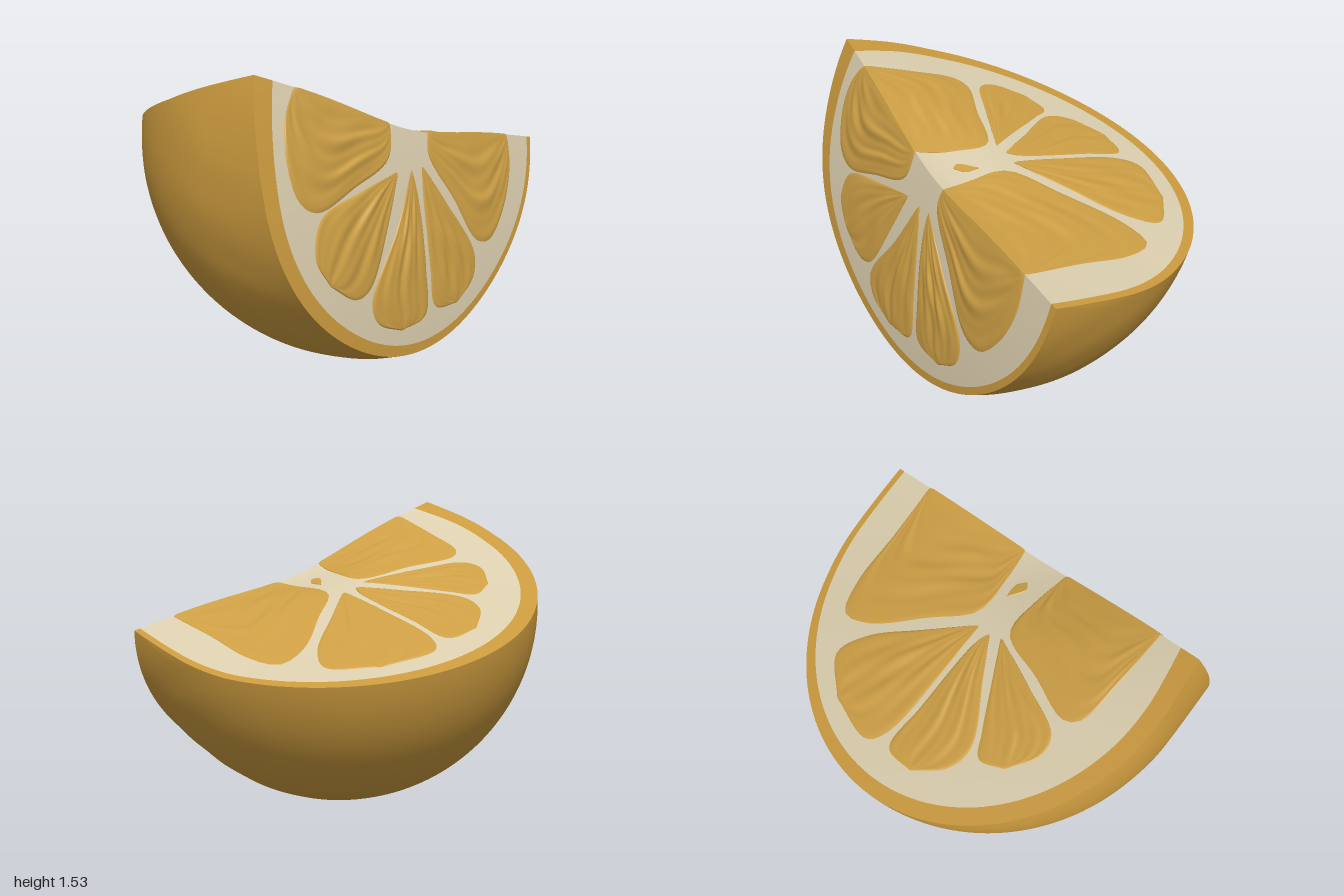
import * as THREE from 'three';

const RX = 1, RY = 1.03, RY_TOP = 1.2, RZ = 1.08, CY = 1.03, CZ = 0.3;
const lerp = THREE.MathUtils.lerp;

// Fruit body: a stretched ball whose sides run straighter towards the front, in unit coordinates and back
const depthScale = (y, front) => RZ / (front ? 1 - 0.6 * THREE.MathUtils.smoothstep(y, 0.15, 1) : 1);
const toUnit = p => new THREE.Vector3(p.x / RX, (p.y - CY) / (p.y > CY ? RY_TOP : RY),
  (p.z - CZ) / depthScale(p.y, p.z > CZ));
function fromUnit(n) {
  const y = CY + n.y * (n.y > 0 ? RY_TOP : RY);
  return new THREE.Vector3(n.x * RX, y, CZ + n.z * depthScale(y, n.z > 0));
}

// The two gently curved cuts, as heights over (x, z) and (x, y)
const topY = (x, z) => 1.075 + 0.24 * z - x * (0.305 + 0.06 * z) + 0.07 * x * x * Math.max(z, 0)
  - 0.07 * Math.exp(-x * x / 0.2 - (z - 0.62) ** 2 / 0.08);
const frontZ = (x, y) => 0.782 - 0.03 * y - 0.095 * y * y;

// Edge where both cuts meet
function edge(x) {
  let y = 1.1, z = 0.6;
  for (let i = 0; i < 30; i++) { z = frontZ(x, y); y = topY(x, z); }
  return new THREE.Vector3(x, y, z);
}

// Largest r for which the point is still inside the body
function reach(pointAt) {
  let lo = 0, hi = 1.5;
  for (let i = 0; i < 40; i++) {
    const mid = (lo + hi) / 2;
    if (toUnit(pointAt(mid)).length() < 1) lo = mid; else hi = mid;
  }
  return lo;
}

// Grid surface facing d/di x d/dj
function grid(nu, nv, f) {
  const pos = [], idx = [];
  for (let j = 0; j <= nv; j++) {
    for (let i = 0; i <= nu; i++) {
      const p = f(i / nu, j / nv);
      pos.push(p.x, p.y, p.z);
    }
  }
  for (let j = 0; j < nv; j++) {
    for (let i = 0; i < nu; i++) {
      const a = j * (nu + 1) + i, b = a + 1, c = a + nu + 1, d = c + 1;
      idx.push(a, b, c, b, d, c);
    }
  }
  const g = new THREE.BufferGeometry();
  g.setAttribute('position', new THREE.Float32BufferAttribute(pos, 3));
  g.setIndex(idx);
  g.computeVertexNormals();
  return g;
}

// Polar description of one cut, centred on the core; order lists the start and end corner
function makeCut(lift, flat, order) {
  const hub = flat(edge(0));
  const [e0, e1] = order.map(s => edge(s * reach(r => edge(s * r))));
  const [a0, a1] = [e0, e1].map(e => flat(e).sub(hub).angle());
  // the top sweep ends just past zero, so unwrap it
  const aEnd = order[0] < 0 && a1 > 5 ? a1 - 2 * Math.PI : a1;
  const at = (s, q) => {
    const a = lerp(a0, aEnd, s), dir = new THREE.Vector2(Math.cos(a), Math.sin(a));
    const p = hub.clone().addScaledVector(dir, q * reach(r => lift(hub.clone().addScaledVector(dir, r))));
    // bend the outer rays onto the shared edge
    const e = s < 0.5 ? e0 : e1, w = Math.max(0, 1 - Math.min(s, 1 - s) / 0.15);
    if (w > 0) {
      const fix = flat(edge(e.x * q)).sub(hub.clone().lerp(flat(e), q));
      p.addScaledVector(fix, w);
    }
    return lift(p);
  };
  return { at, lift, flat };
}

export function createModel() {
  const group = new THREE.Group();
  const mat = (name, color) => {
    const m = new THREE.MeshStandardMaterial({ color, side: THREE.DoubleSide });
    m.name = name;
    return m;
  };
  const rind = mat('rind', 0xcb9a3e), pulp = mat('pulp', 0xcd9f45), pith = mat('pith', 0xdbceae);
  const add = (name, geometry, material) => {
    const m = new THREE.Mesh(geometry, material);
    m.name = name;
    group.add(m);
  };

  // Top cut runs left to right over the back, front cut right to left under the bottom
  const top = makeCut(
    p => new THREE.Vector3(p.x, topY(p.x, -p.y), -p.y),
    p => new THREE.Vector2(p.x, -p.z), [-1, 1]);
  const front = makeCut(
    p => new THREE.Vector3(p.x, p.y, frontZ(p.x, p.y)),
    p => new THREE.Vector2(p.x, p.y), [1, -1]);

  // Pith and the rind band on each cut; the band is wider towards -x
  for (const [name, cut] of [['top', top], ['front', front]]) {
    const inner = s => 0.968 - 0.073 * (cut === top ? 1 - s : s) ** 2;
    add(name + 'Pith', grid(110, 36, (s, q) => cut.at(s, q * inner(s))), pith);
    add(name + 'RindBand', grid(110, 3, (s, q) => cut.at(s, lerp(inner(s), 1, q))), rind);
  }

  // Outer skin: from the rim loop round to a pole low at the back, pitted near the front
  const pole = new THREE.Vector3(0, -0.72, -0.69);
  const rim = s => toUnit(s < 0.5 ? top.at(s * 2, 1) : front.at(s * 2 - 1, 1));
  add('skin', grid(200, 50, (s, t) => {
    const n = rim(s).lerp(pole, t).normalize();
    const bump = Math.sin(n.x * 13 + 2 * Math.sin(n.y * 9)) * Math.sin(n.y * 15 + n.z * 11)
      * Math.max(0, n.z + 0.4);
    return fromUnit(n.multiplyScalar(1 + 0.006 * bump * Math.min(1, t * 8) * (1 - t)));
  }), rind);

  // One pulp segment between two sides; a side of two numbers follows the shared edge
  let seed = 0;
  function segment(name, cut, sideA, sideB, rough = 0.004) {
    const onEdge = s => typeof s[0] === 'number';
    const curve = (side, other) => {
      if (onEdge(side)) return t => cut.flat(edge(lerp(side[0], side[1], t)));
      const pts = side.map(([x, y]) => new THREE.Vector3(x, cut === top ? -y : y, 0));
      if (onEdge(other)) {
        const [p, q] = other.map(x => cut.flat(edge(x)));
        pts.unshift(new THREE.Vector3(p.x, p.y, 0));
        pts.push(new THREE.Vector3(q.x, q.y, 0));
      }
      const c = new THREE.CatmullRomCurve3(pts, false, 'centripetal');
      return t => { const p = c.getPointAt(t); return new THREE.Vector2(p.x, p.y); };
    };
    const A = curve(sideA, sideB), B = curve(sideB, sideA), k = ++seed * 1.7;
    add(name, grid(36, 36, (u, v) => {
      const p = cut.lift(A(v).lerp(B(v), u));
      const ridge = Math.sin(u * 19 + k + 2.5 * Math.sin(v * 4 + k))
        + 0.6 * Math.sin(u * 37 + v * 8 + k * 2) + 0.5 * Math.sin(v * 17 + u * 9 + k);
      // the border sinks into the pith, except along the shared edge
      const border = Math.min(onEdge(sideA) ? 1 : u, onEdge(sideB) ? 1 : 1 - u, v, 1 - v);
      const h = -0.001 + 0.005 * Math.min(1, border * 30)
        + rough * (ridge + 1.6) * Math.sin(Math.PI * u) * Math.sin(Math.PI * v) ** 1.5;
      return p.add(new THREE.Vector3(0, h, h));
    }), pulp);
  }

  const L = [-0.14, -0.7], R = [0.12, 0.77];
  // Top segments as (x, z), left to right
  segment('topSegment1', top, L, [[-0.1, 0.42], [-0.1, 0.22], [-0.35, 0.1], [-0.58, 0], [-0.65, 0.04], [-0.68, 0.25]]);
  segment('topSegment2', top, [[-0.08, 0.18], [-0.35, 0.05], [-0.58, -0.08], [-0.6, -0.18], [-0.5, -0.32]],
    [[-0.08, 0.18], [-0.2, -0.05], [-0.3, -0.24], [-0.37, -0.35], [-0.5, -0.32]]);
  segment('topSegment3', top, [[-0.02, 0.17], [-0.14, -0.03], [-0.31, -0.33], [-0.28, -0.46], [-0.13, -0.57]],
    [[-0.02, 0.17], [0.01, 0.1], [0.03, -0.3], [0.03, -0.54], [-0.13, -0.57]]);
  segment('topSegment4', top, [[0.05, 0.18], [0.05, -0.1], [0.08, -0.48], [0.15, -0.57], [0.42, -0.49]],
    [[0.05, 0.18], [0.28, 0.02], [0.51, -0.15], [0.59, -0.3], [0.42, -0.49]]);
  segment('topSegment5', top, [[0.1, 0.45], [0.1, 0.24], [0.3, 0.08], [0.55, -0.1], [0.7, -0.12], [0.76, 0.05], [0.76, 0.35]], R);
  segment('coreHollow', top, [[0, 0.49], [-0.02, 0.45], [0.04, 0.37]], [[0, 0.49], [0.04, 0.45], [0.04, 0.37]], 0);

  // Front segments as (x, y), right to left
  segment('frontSegment5', front, R, [[0.1, 1.02], [0.25, 0.78], [0.41, 0.53], [0.53, 0.5], [0.68, 0.64], [0.76, 0.82]]);
  segment('frontSegment4', front, [[0.04, 0.98], [0.2, 0.76], [0.39, 0.47], [0.37, 0.35], [0.22, 0.26]],
    [[0.04, 0.98], [0.02, 0.85], [0.02, 0.5], [0.04, 0.3], [0.22, 0.26]]);
  segment('frontSegment3', front, [[-0.04, 0.98], [-0.02, 0.85], [-0.01, 0.5], [-0.03, 0.28], [-0.22, 0.26]],
    [[-0.04, 0.98], [-0.2, 0.74], [-0.42, 0.46], [-0.39, 0.35], [-0.22, 0.26]]);
  segment('frontSegment2', front, [[-0.14, 0.99], [-0.25, 0.78], [-0.42, 0.52], [-0.52, 0.5], [-0.68, 0.61]],
    [[-0.14, 0.99], [-0.4, 0.96], [-0.69, 0.9], [-0.75, 0.75], [-0.68, 0.61]]);
  segment('frontSegment1', front, [[-0.19, 1.06], [-0.45, 0.98], [-0.7, 0.93], [-0.8, 1], [-0.83, 1.18], [-0.79, 1.34]], L);
  return group;
}
